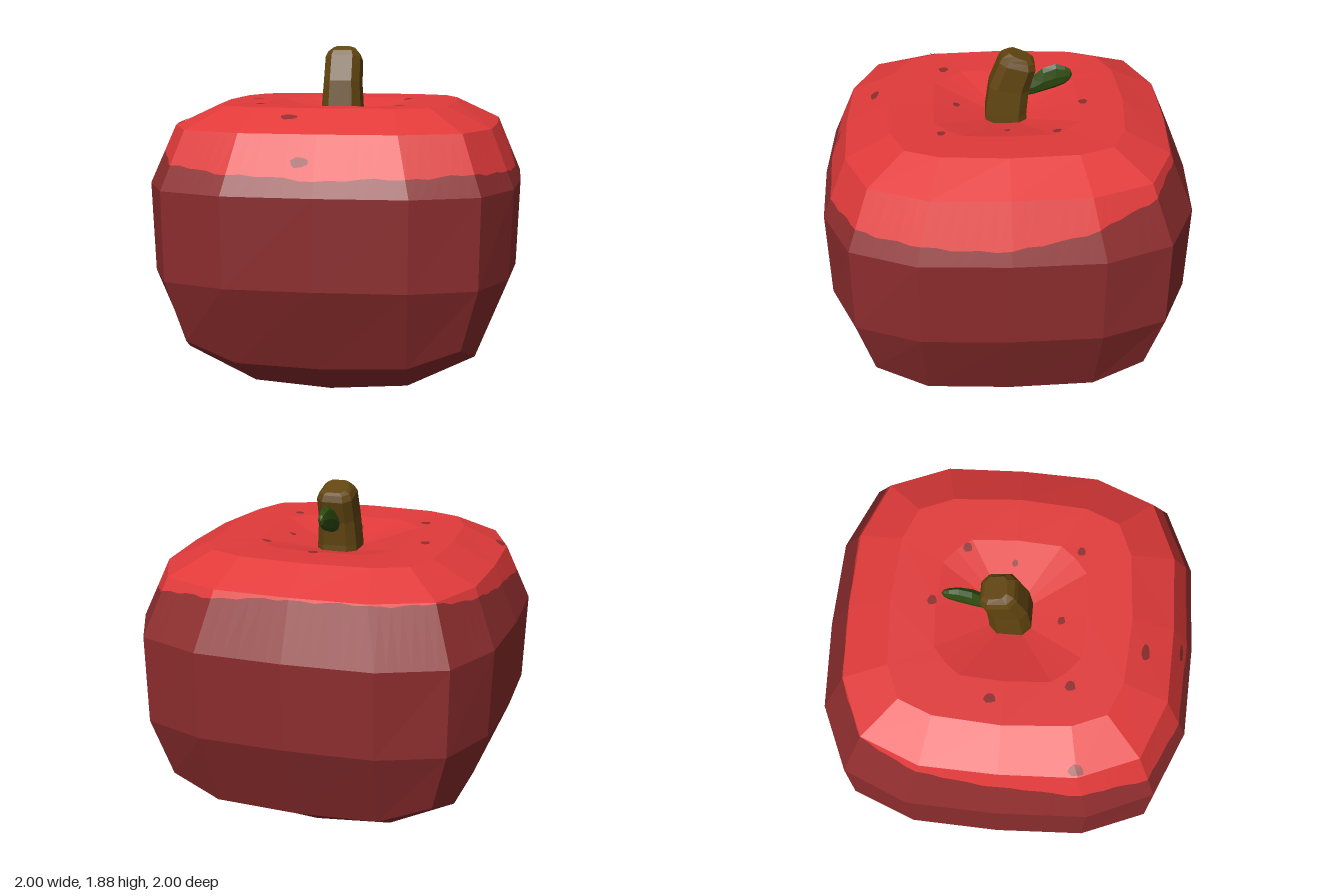
import * as THREE from 'three';

const mat = (name, color) => Object.assign(new THREE.MeshStandardMaterial({ color, flatShading: true }), { name });
const V = (x, y, z) => new THREE.Vector3(x, y, z);

// Joins closed loops into a faceted surface, with optional end points.
function loft(loops, start, end) {
  const pos = [];
  const tri = (a, b, c) => [a, b, c].forEach(p => pos.push(p.x, p.y, p.z));
  const n = loops[0].length;
  for (let j = 0; j < n; j++) {
    const k = (j + 1) % n;
    for (let i = 0; i + 1 < loops.length; i++) {
      tri(loops[i][j], loops[i][k], loops[i + 1][k]);
      tri(loops[i][j], loops[i + 1][k], loops[i + 1][j]);
    }
    if (start) tri(start, loops[0][k], loops[0][j]);
    if (end) tri(end, loops.at(-1)[j], loops.at(-1)[k]);
  }
  const g = new THREE.BufferGeometry();
  g.setAttribute('position', new THREE.Float32BufferAttribute(pos, 3));
  g.computeVertexNormals();
  return g;
}

// Rounded-square loop of 16 points: corner, quarter and middle of each side.
function ring([m, ym], [qx, qz, yq], [c, yc]) {
  const loop = [];
  for (let s = 0; s < 4; s++) {
    for (const [x, y, z] of [[-c, yc, c], [-qx, yq, qz], [0, ym, m], [qx, yq, qz]]) {
      let a = x, b = z;
      for (let r = 0; r < s; r++) [a, b] = [b, -a];
      loop.push(V(a, y, b));
    }
  }
  return loop;
}
const flatRing = (y, m, qx, qz, c) => ring([m, y], [qx, qz, y], [c, y]);

// Point at a fractional position along a loop.
function along(loop, u) {
  const i = Math.floor(u) % 16;
  return loop[i].clone().lerp(loop[(i + 1) % 16], u - Math.floor(u));
}

export function createModel() {
  const group = new THREE.Group();
  const lightRed = mat('light red skin', 0xe23a3a);
  const darkRed = mat('dark red skin', 0x8e2d2e);
  const brown = mat('brown stem', 0x624510);
  const green = mat('green leaf', 0x2f4d10);
  const add = (name, geo, material) => {
    const mesh = new THREE.Mesh(geo, material);
    mesh.name = name;
    group.add(mesh);
    return mesh;
  };

  // Fruit cross-sections, bottom to dimple
  const bottom = [
    ring([0.44, 0.03], [0.42, 0.42, 0.055], [0.42, 0.055]),
    ring([0.79, 0.225], [0.45, 0.785, 0.24], [0.73, 0.335]),
    flatRing(0.67, 0.98, 0.475, 0.96, 0.82),
    flatRing(1.15, 1.0, 0.48, 0.98, 0.83),
  ];
  const top = [
    flatRing(1.46, 0.87, 0.41, 0.855, 0.725),
    flatRing(1.575, 0.64, 0.36, 0.615, 0.54),
    flatRing(1.57, 0.4, 0.24, 0.385, 0.32),
  ];
  add('lowerSkin', loft(bottom, V(0, 0, 0)), darkRed);
  const crown = add('upperSkin', loft(top, null, V(0, 1.47, 0)), lightRed);

  // Shoulder band, split along a wavy colour line
  const heights = [1.28, 1.235, 1.26, 1.22, 1.39, 1.45, 1.45, 1.36];
  const low = [], line = [], high = [];
  for (let i = 0; i < 96; i++) {
    const u = i / 6, k = Math.floor(u / 2), f = u / 2 - k;
    const h = heights[k] * (1 - f) + heights[(k + 1) % 8] * f
      + 0.005 * Math.sin(i * 2.1) + 0.004 * Math.sin(i * 0.9);
    const a = along(bottom[3], u), b = along(top[0], u);
    low.push(a);
    high.push(b);
    line.push(a.clone().lerp(b, (h - 1.15) / 0.31));
  }
  add('shoulderLower', loft([low, line]), darkRed);
  const shoulder = add('shoulderUpper', loft([line, high]), lightRed);

  // Speckles draped over the skin: x, z, half-width, half-depth
  const spots = [
    [0.02, -0.42, 0.03, 0.027], [0.34, -0.26, 0.027, 0.027], [-0.5, -0.07, 0.028, 0.035],
    [0.28, 0, 0.02, 0.018], [-0.03, 0.27, 0.024, 0.022], [-0.4, 0.34, 0.03, 0.03],
    [0.36, 0.35, 0.026, 0.024], [-0.82, 0.4, 0.03, 0.045], [-0.17, 0.72, 0.048, 0.025],
    [-0.08, 0.925, 0.05, 0.012], [-0.43, -0.845, 0.025, 0.01],
  ];
  const ray = new THREE.Raycaster();
  const drape = (x, z) => {
    ray.set(V(x, 3, z), V(0, -1, 0));
    const hit = ray.intersectObjects([crown, shoulder])[0];
    return hit && hit.point.addScaledVector(hit.face.normal, 0.004);
  };
  const speckles = new THREE.Group();
  speckles.name = 'speckles';
  for (const [x, z, w, d] of spots) {
    const rim = [], centre = drape(x, z);
    for (let i = 0; i < 8; i++) {
      const a = i * Math.PI / 4 + 0.3, r = i % 3 ? 1 : 0.85;
      rim.push(drape(x + w * r * Math.sin(a), z + d * r * Math.cos(a)));
    }
    if (!centre || rim.some(p => !p)) continue;
    const spot = new THREE.Mesh(loft([rim], null, centre), darkRed);
    spot.name = 'speckle';
    speckles.add(spot);
  }
  group.add(speckles);

  // Bent stem: half-width, front z and y, back z and y
  const stem = [
    [0.115, 0.115, 1.45, -0.115, 1.45], [0.11, 0.11, 1.54, -0.11, 1.53],
    [0.1, 0.09, 1.69, -0.122, 1.66], [0.098, 0.035, 1.83, -0.158, 1.78],
    [0.085, 0.018, 1.855, -0.15, 1.815], [0.062, -0.02, 1.876, -0.135, 1.83],
  ].map(([w, zf, yf, zb, yb]) => [
    [-0.6, 1], [0.6, 1], [1, 0.6], [1, -0.6], [0.6, -1], [-0.6, -1], [-1, -0.6], [-1, 0.6],
  ].map(([x, t]) => V(x * w, yb + (yf - yb) * (t + 1) / 2, zb + (zf - zb) * (t + 1) / 2)));
  add('stem', loft(stem, V(0, 1.45, 0), V(0, 1.853, -0.078)), brown);

  // Leaf behind the stem: z, centre height, half-height, half-width
  const leaf = [
    [-0.09, 1.655, 0.05, 0.03], [-0.15, 1.67, 0.055, 0.036], [-0.2, 1.7, 0.069, 0.036],
    [-0.27, 1.723, 0.07, 0.03], [-0.32, 1.727, 0.052, 0.023], [-0.348, 1.73, 0.03, 0.016],
  ].map(([z, y, h, w]) => Array.from({ length: 8 }, (_, i) => {
    const a = i * Math.PI / 4;
    return V(w * Math.sin(a), y + h * Math.cos(a), z);
  }));
  add('leaf', loft(leaf, V(0, 1.655, -0.09), V(0, 1.73, -0.36)), green);

  return group;
}
